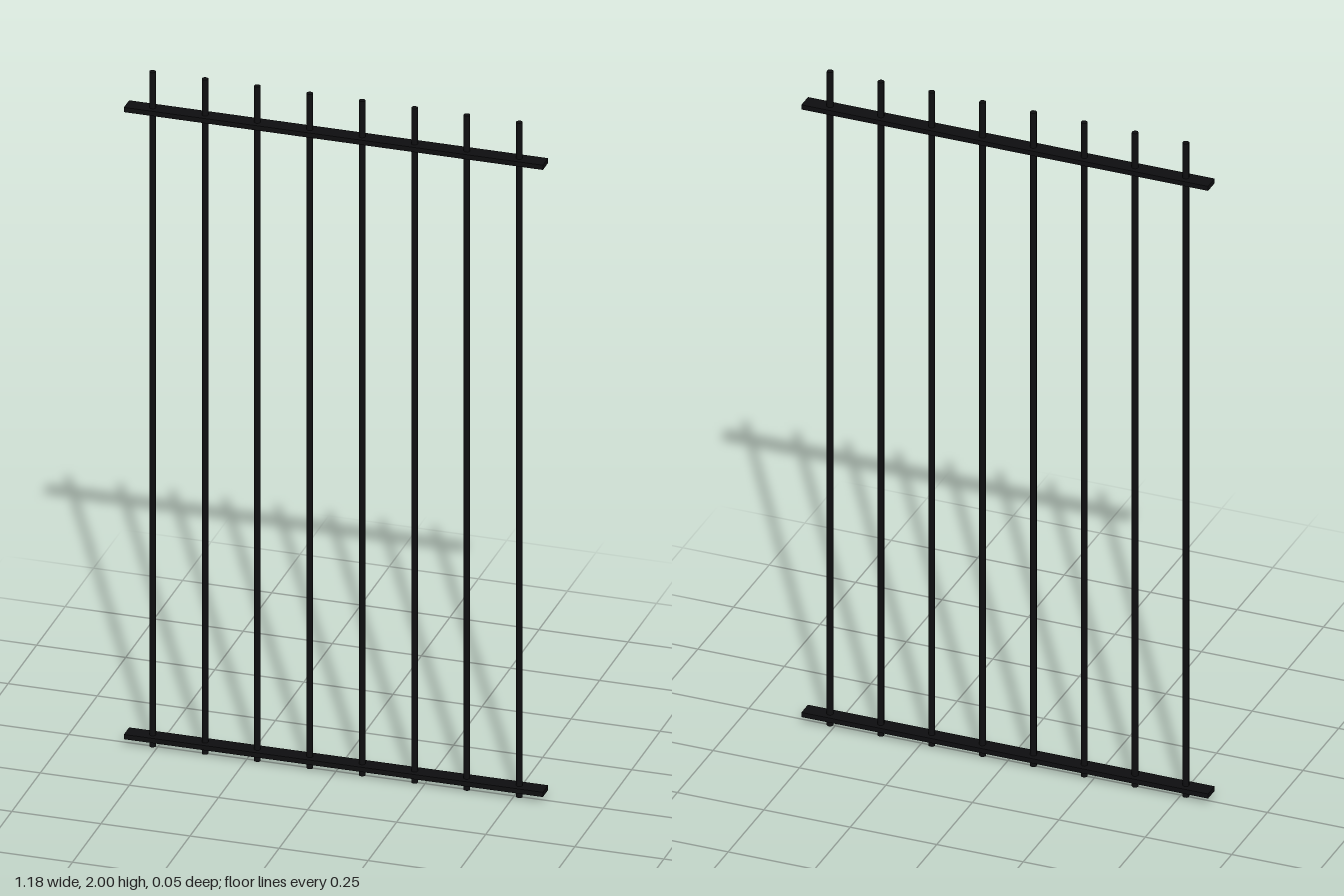
import * as THREE from 'three';

export function createModel() {
  const group = new THREE.Group();
  group.name = 'barGrille';
  const iron = new THREE.MeshStandardMaterial({ color: 0x0e0e10 });
  iron.name = 'black iron';

  const count = 8, spacing = 0.147, height = 2;

  // Upright round bars, evenly spaced
  const barGeometry = new THREE.CylinderGeometry(0.009, 0.009, height, 12);
  for (let i = 0; i < count; i++) {
    const bar = new THREE.Mesh(barGeometry, iron);
    bar.name = `verticalBar${i + 1}`;
    bar.position.set((i - (count - 1) / 2) * spacing, height / 2, 0);
    group.add(bar);
  }

  // Flat cross rails that the bars pass through
  const railGeometry = new THREE.BoxGeometry(count * spacing, 0.014, 0.046);
  for (const [name, y] of [['bottomRail', 0.027], ['topRail', 1.886]]) {
    const rail = new THREE.Mesh(railGeometry, iron);
    rail.name = name;
    rail.position.y = y;
    group.add(rail);
  }
  return group;
}
